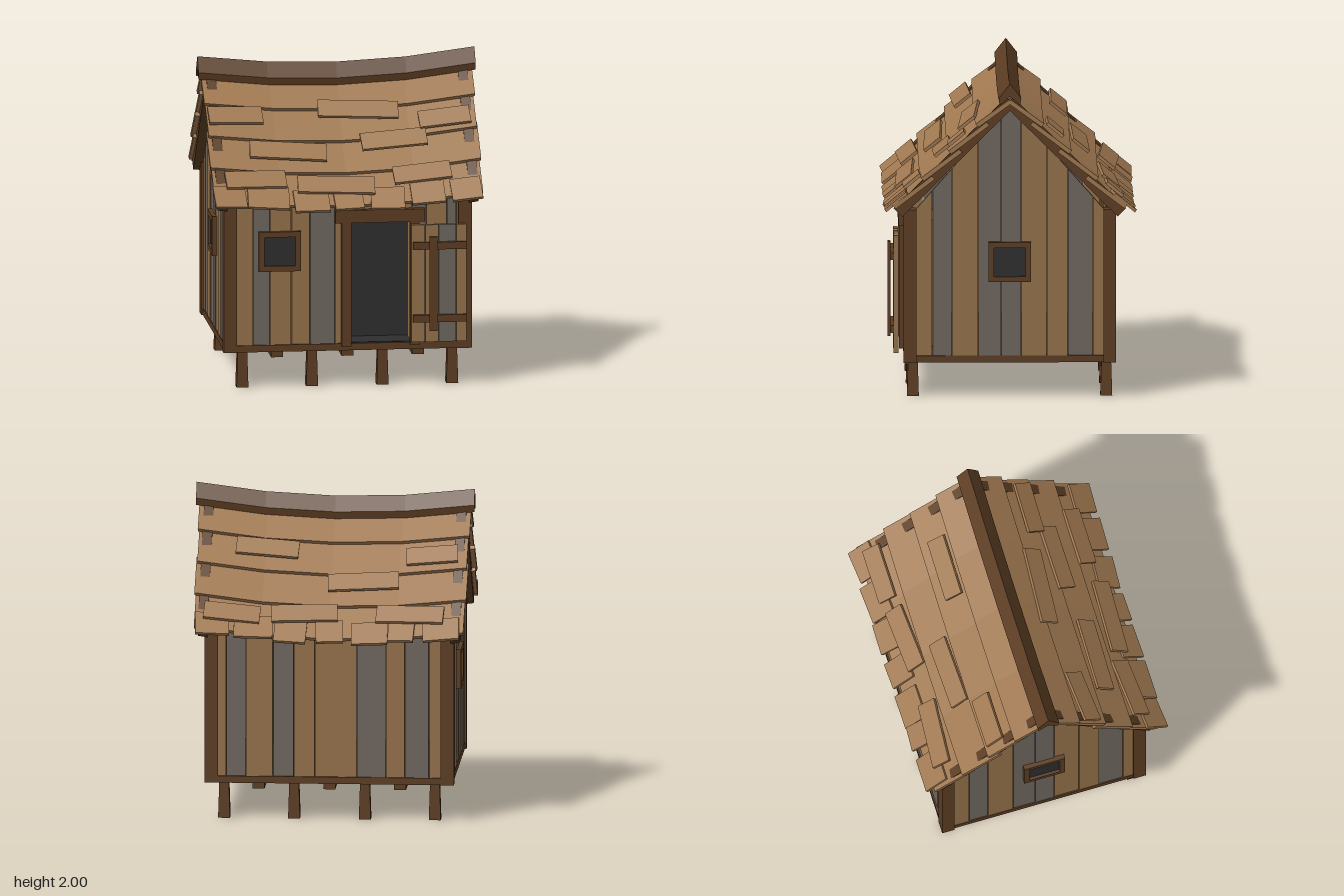
import * as THREE from 'three';

const mat = (name, color) => {
  const m = new THREE.MeshStandardMaterial({ color });
  m.name = name;
  return m;
};

// Sagging roof line: height change along x
const sag = x => 0.065 * ((x / 0.865) ** 2 - 1) + 0.0125 * (x / 0.865);
const C = Math.SQRT1_2;
// Point on a roof slope: z runs down the slope, d is the offset along the normal
const roofPoint = (side, x, z, d) =>
  new THREE.Vector3(x, 1.88 - z + sag(x) + d * C, side * (z + d * C));

// Solid swept through rings of points that follow each other along +x
function loft(rings) {
  const p = [];
  const tri = (...v) => v.forEach(q => p.push(q.x, q.y, q.z));
  const n = rings[0].length;
  for (let k = 0; k < rings.length - 1; k++)
    for (let j = 0; j < n; j++) {
      const a = rings[k][j], b = rings[k][(j + 1) % n];
      const c = rings[k + 1][(j + 1) % n], d = rings[k + 1][j];
      tri(a, b, c);
      tri(a, c, d);
    }
  const first = rings[0], last = rings[rings.length - 1];
  for (let j = 1; j < n - 1; j++) {
    tri(first[0], first[j + 1], first[j]);
    tri(last[0], last[j], last[j + 1]);
  }
  const g = new THREE.BufferGeometry();
  g.setAttribute('position', new THREE.Float32BufferAttribute(p, 3));
  g.computeVertexNormals();
  return g;
}

export function createModel() {
  const timber = mat('dark timber', 0x5c3d22);
  const tan = mat('tan plank', 0x96724b);
  const grey = mat('weathered plank', 0x706860);
  const shingle = mat('roof board', 0xa07850);
  const dark = mat('dark interior', 0x2e2e2e);

  const hut = new THREE.Group();
  hut.name = 'hut';
  const group = (name, parent = hut) => {
    const g = new THREE.Group();
    g.name = name;
    parent.add(g);
    return g;
  };
  const add = (parent, name, geo, m) => {
    const mesh = new THREE.Mesh(geo, m);
    mesh.name = name;
    parent.add(mesh);
    return mesh;
  };
  // Box given by its limits on each axis
  const box = (parent, name, m, x0, x1, y0, y1, z0, z1) => {
    const mesh = add(parent, name, new THREE.BoxGeometry(x1 - x0, y1 - y0, z1 - z0), m);
    mesh.position.set((x0 + x1) / 2, (y0 + y1) / 2, (z0 + z1) / 2);
    return mesh;
  };

  // Stilts, joists and floor
  const base = group('base');
  const stiltGeo = new THREE.CylinderGeometry(0.03 / C, 0.037 / C, 0.225, 4)
    .rotateY(Math.PI / 4).toNonIndexed();
  stiltGeo.computeVertexNormals();
  for (const z of [-0.6, 0.6])
    for (const x of [-0.655, -0.22, 0.22, 0.655])
      add(base, 'stilt', stiltGeo, timber).position.set(x, 0.1125, z);
  for (const x of [-0.44, 0, 0.44])
    box(base, 'joist', timber, x - 0.037, x + 0.037, 0.188, 0.226, -0.64, 0.64);
  box(base, 'floor', timber, -0.765, 0.765, 0.225, 0.268, -0.655, 0.655);

  // Corner posts
  for (const sx of [-1, 1])
    for (const sz of [-1, 1]) {
      const post = box(base, 'cornerPost', timber, -0.042, 0.042, 0.225, 1.19, -0.04, 0.04);
      post.position.x = sx * 0.733;
      post.position.z = sz * 0.62;
    }

  // Plank walls: t is tan, g is grey; edges run left to right seen from outside
  function wall(name, angle, dist, edges, colours, top, bottom = () => 0.26) {
    const w = group(name);
    w.rotation.y = angle;
    [...colours].forEach((c, i) => {
      const a = edges[i] + 0.002, b = edges[i + 1] - 0.002;
      const s = new THREE.Shape();
      s.moveTo(a, bottom(a));
      s.lineTo(b, bottom(a));
      s.lineTo(b, top(b));
      if (a < 0 && b > 0) s.lineTo(0, top(0));
      s.lineTo(a, top(a));
      const geo = new THREE.ExtrudeGeometry(s, { depth: 0.03, bevelEnabled: false });
      add(w, 'plank', geo, c === 't' ? tan : grey).position.z = dist - 0.03 - (i % 2) * 0.004;
    });
    return w;
  }
  const front = wall('frontWall', 0, 0.645,
    [-0.7, -0.59, -0.485, -0.35, -0.235, -0.08, 0.01, 0.2, 0.4, 0.49, 0.62, 0.68, 0.7], 'tgttgtttgtgt',
    x => 1.19 + sag(x), x => (x > 0 && x < 0.35 ? 1.03 : 0.26));
  wall('backWall', Math.PI, 0.645,
    [-0.7, -0.64, -0.52, -0.35, -0.22, -0.09, 0.17, 0.35, 0.47, 0.62, 0.7], 'tgtgttgtgt',
    u => 1.19 + sag(-u));
  const gableEdges = [-0.59, -0.48, -0.36, -0.195, -0.053, 0.07, 0.23, 0.36, 0.515, 0.59];
  const gables = [1, -1].map(s => wall(s > 0 ? 'leftGable' : 'rightGable', s * Math.PI / 2, 0.762,
    gableEdges, 'tgtggttgt', u => 1.855 - 1.14 * Math.abs(u)));

  // Framed square windows
  function windowAt(parent, x, z) {
    const w = group('window', parent);
    w.position.set(x, 0.86, z);
    box(w, 'pane', dark, -0.1, 0.1, -0.095, 0.095, 0, 0.008);
    for (const s of [-1, 1]) {
      box(w, 'frameRail', timber, -0.132, 0.132, -0.017, 0.017, -0.005, 0.025).position.y = s * 0.108;
      box(w, 'frameStile', timber, -0.017, 0.017, -0.092, 0.092, -0.005, 0.025).position.x = s * 0.115;
    }
  }
  windowAt(front, -0.425, 0.645);
  gables.forEach(g => windowAt(g, 0, 0.762));

  // Doorway with a dark recess
  const doorway = group('doorway');
  box(doorway, 'recessBack', dark, 0, 0.42, 0.265, 1.06, 0.44, 0.45);
  box(doorway, 'recessFloor', dark, 0, 0.42, 0.266, 0.274, 0.45, 0.645);
  box(doorway, 'recessSide', tan, -0.01, 0.015, 0.265, 1.06, 0.45, 0.63);
  box(doorway, 'recessSide', tan, 0.395, 0.42, 0.265, 1.06, 0.45, 0.63);
  box(doorway, 'recessTop', tan, 0, 0.42, 1.035, 1.05, 0.45, 0.63);
  box(doorway, 'doorPost', timber, -0.04, 0.02, 0.255, 1.04, 0.62, 0.682);
  box(doorway, 'doorPost', timber, 0.388, 0.445, 0.255, 1.04, 0.62, 0.682);
  box(doorway, 'lintel', timber, -0.08, 0.48, 1.035, 1.115, 0.62, 0.686);

  // Open door slid aside
  const door = group('door');
  const doorEdges = [0.39, 0.475, 0.56, 0.67, 0.735];
  [tan, tan, grey, tan].forEach((m, i) =>
    box(door, 'doorPlank', m, doorEdges[i] + 0.002, doorEdges[i + 1] - 0.002, 0.28, 1.02, 0.69, 0.718 + (i % 2) * 0.003));
  for (const y of [0.43, 0.89])
    box(door, 'doorBatten', timber, 0.4, 0.735, y - 0.023, y + 0.023, 0.718, 0.74);
  box(door, 'doorBrace', timber, 0.5, 0.55, 0.355, 0.95, 0.738, 0.755);

  // Roof: overlapping sagging rows, end rafters and loose shingles
  const roof = group('roof');
  const sweep = (side, xs, section) => loft(xs.map(x => {
    const ring = section.map(([z, d]) => roofPoint(side, x, z, d));
    return side > 0 ? ring : ring.reverse();
  }));
  const rowEnds = [0, 0.18, 0.35, 0.52, 0.695];
  // Each shingle: x from, x to, z centre, spin
  const shingles = {
    1: [[-0.83, -0.49, 0.285, 0.04], [-0.14, 0.36, 0.245, -0.07], [0.48, 0.8, 0.33, 0.06],
      [-0.59, -0.11, 0.46, -0.06], [0.11, 0.52, 0.415, 0.06], [-0.76, -0.38, 0.62, 0.05],
      [-0.31, 0.17, 0.64, -0.05], [0.29, 0.65, 0.605, 0.07]],
    '-1': [[-0.78, -0.46, 0.32, 0.05], [-0.42, 0.02, 0.445, 0.05], [0.21, 0.6, 0.285, -0.05],
      [-0.05, 0.36, 0.62, 0.06], [-0.71, -0.29, 0.63, -0.05], [0.43, 0.78, 0.65, -0.05]],
  };
  const eaves = {
    1: [[-0.84, -0.64], [-0.63, -0.37], [-0.34, -0.12], [-0.09, 0.09], [0.14, 0.35], [0.39, 0.6], [0.64, 0.83]],
    '-1': [[-0.81, -0.585], [-0.53, -0.37], [-0.365, -0.14], [-0.09, 0.08], [0.14, 0.34], [0.35, 0.59], [0.62, 0.83]],
  };
  for (const side of [1, -1]) {
    for (let r = 0; r < 4; r++) {
      const z0 = Math.max(0, rowEnds[r] - 0.04), z1 = rowEnds[r + 1];
      const w = 0.845 - (r % 2) * 0.008;
      add(roof, 'roofRow', sweep(side, [-1, -0.5, 0, 0.5, 1].map(t => t * w),
        [[z0, 0.008], [z1, 0.048], [z1, 0.02], [z0, -0.02]]), shingle);
    }
    for (const x of [-0.785, 0.785])
      add(roof, 'rafter', sweep(side, [x - 0.03, x + 0.03],
        [[0, 0.03], [0.7, 0.03], [0.7, -0.045], [0, -0.045]]), timber);

    const lay = (name, x0, x1, z, spin, len, d) => {
      const x = (x0 + x1) / 2;
      const s = add(roof, name, new THREE.BoxGeometry(x1 - x0, 0.02, len), shingle);
      s.position.copy(roofPoint(side, x, z - d * C, d));
      s.rotation.set(side * (Math.PI / 4 - 0.1), spin, (0.174 * x + 0.014) * C);
    };
    for (const [x0, x1, z, spin] of shingles[side]) lay('shingle', x0, x1, z, spin, 0.13, 0.066);
    eaves[side].forEach(([x0, x1], i) =>
      lay('eaveShingle', x0, x1, 0.705, [0.05, -0.04, 0.03][i % 3], 0.17, 0.05 + (i % 2) * 0.008));
  }

  // Ridge cap
  const cap = [[0, 0], [0.07, -0.09], [0.062, -0.135], [0, -0.08], [-0.062, -0.135], [-0.07, -0.09]];
  add(roof, 'ridgeCap', loft([-0.865, -0.4325, 0, 0.4325, 0.865].map(x =>
    cap.map(([z, y]) => new THREE.Vector3(x, 1.9875 + sag(x) + y, z)))), timber);

  return hut;
}
